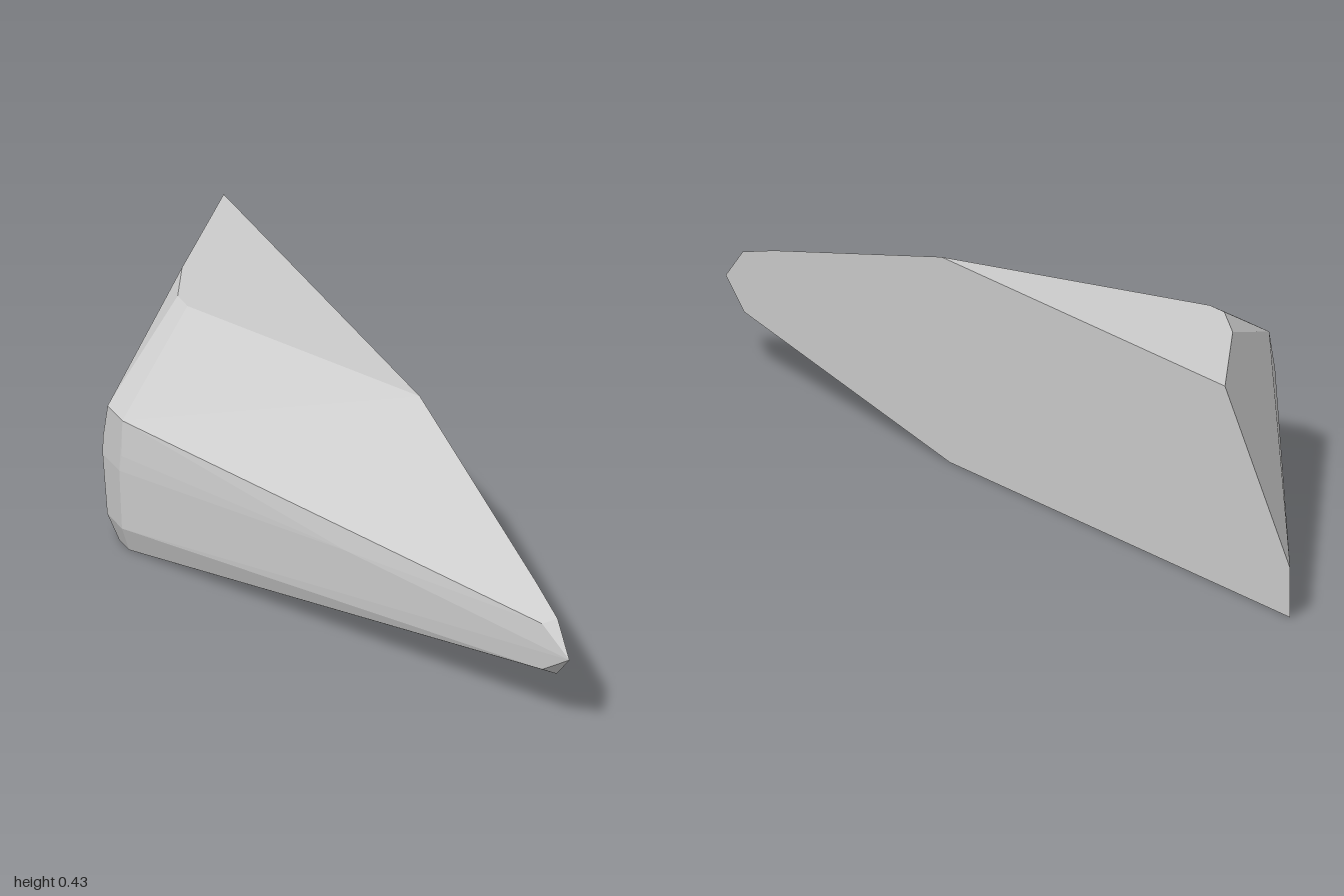
import * as THREE from 'three';
import { ConvexGeometry } from 'three/addons/geometries/ConvexGeometry.js';

// Corners of a faceted wedge with one flat side, grouped by region
const FLAT_X = 0.25;

// Outline of the flat side as [z, y]
const flatSide = [
  [0.99, 0.183], [0.93, 0.25], [0.82, 0.283], [0.23, 0.433], [-0.77, 0.433],
  [-1, 0.105], [-1, 0], [0.2, 0], [0.925, 0.122],
];

// Bevelled inner corners of the pointed front tip [x, y, z]
const tip = [[0.222, 0.237, 0.915], [0.222, 0.133, 0.915]];

// Rim of the level top, opposite the flat side
const topRim = [[0.04, 0.433, -0.5], [-0.02, 0.433, -0.385], [-0.02, 0.433, -0.335]];

// Narrow outer edge: [x, y, back z, front z] from top to bottom
const outerEdge = [
  [-0.245, 0.302, -0.225, -0.15],
  [-0.249, 0.225, -0.24, -0.145],
  [-0.252, 0.19, -0.235, -0.15],
  [-0.246, 0.057, -0.225, -0.15],
  [-0.226, 0, -0.21, -0.16],
];

// Slight swell along the front face
const frontRidge = [[0, 0.222, 0.425]];

export function createModel() {
  const group = new THREE.Group();
  group.name = 'facetedWedge';

  const stone = new THREE.MeshStandardMaterial({ color: 0xcccccc });
  stone.name = 'light grey';
  stone.flatShading = true;

  const points = [
    ...flatSide.map(([z, y]) => [FLAT_X, y, z]),
    ...tip,
    ...topRim,
    ...outerEdge.flatMap(([x, y, back, front]) => [[x, y, back], [x, y, front]]),
    ...frontRidge,
  ].map((p) => new THREE.Vector3(...p));

  const body = new THREE.Mesh(new ConvexGeometry(points), stone);
  body.name = 'wedgeBody';
  group.add(body);
  return group;
}
